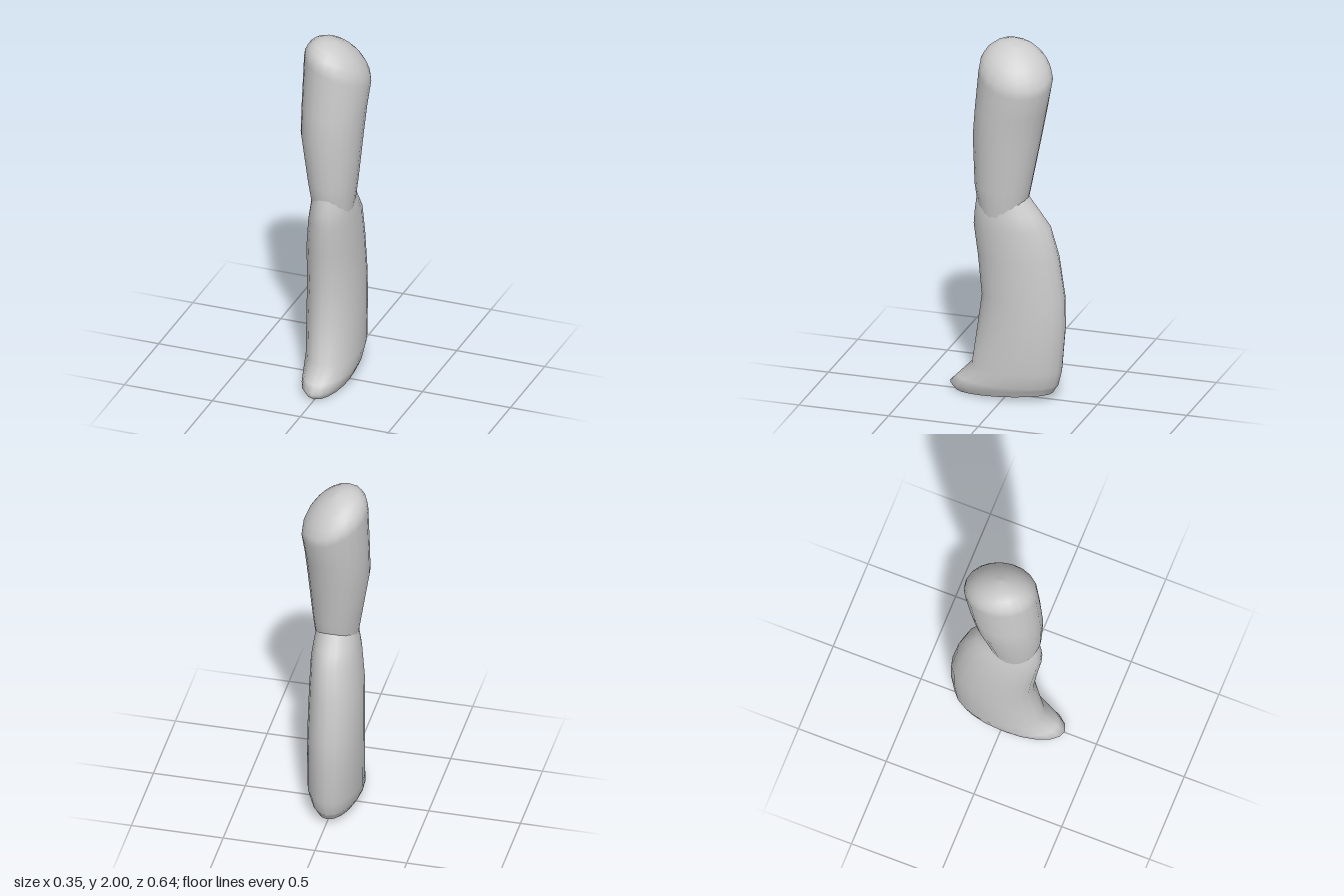
import * as THREE from 'three';

const SEG = 20;

// Point on an elliptical section: [y, xMin, xMax, zMin, zMax, slopeX, slopeZ]
function ringPoint([y, x0, x1, z0, z1, sx = 0, sz = 0], a) {
  const dx = Math.sin(a) * (x1 - x0) / 2, dz = Math.cos(a) * (z1 - z0) / 2;
  return [(x0 + x1) / 2 + dx, y + dx * sx + dz * sz, (z0 + z1) / 2 + dz];
}

// Skin through sections listed from bottom to top, with smooth wrap-around
function loft(rings) {
  const pos = [], idx = [];
  rings.forEach((r, j) => {
    for (let i = 0; i < SEG; i++) {
      pos.push(...ringPoint(r, i / SEG * Math.PI * 2));
      if (j === 0) continue;
      const n = (i + 1) % SEG, a = (j - 1) * SEG, b = j * SEG;
      idx.push(a + i, a + n, b + n, a + i, b + n, b + i);
    }
  });
  return build(pos, idx);
}

// Flat cap closing the underside of a section
function underside(ring) {
  const pos = [(ring[1] + ring[2]) / 2, ring[0], (ring[3] + ring[4]) / 2], idx = [];
  for (let i = 0; i < SEG; i++) {
    pos.push(...ringPoint(ring, i / SEG * Math.PI * 2));
    idx.push(0, 1 + (i + 1) % SEG, 1 + i);
  }
  return build(pos, idx);
}

function build(pos, idx) {
  const g = new THREE.BufferGeometry();
  g.setAttribute('position', new THREE.Float32BufferAttribute(pos, 3));
  g.setIndex(idx);
  g.computeVertexNormals();
  return g;
}

// Rounded end continuing from a section
function dome(ring, height, steps, driftX = 0) {
  const [y, x0, x1, z0, z1, sx = 0, sz = 0] = ring;
  const cx = (x0 + x1) / 2, cz = (z0 + z1) / 2, out = [];
  for (let k = 1; k <= steps; k++) {
    const t = k / steps * Math.PI / 2, s = Math.max(Math.cos(t), 0.002), h = Math.sin(t);
    const w = (x1 - x0) / 2 * s, d = (z1 - z0) / 2 * s, c = cx + driftX * h;
    out.push([y + height * h, c - w, c + w, cz - d, cz + d, sx, sz]);
  }
  return out;
}

export function createModel() {
  const model = new THREE.Group();
  const mat = new THREE.MeshStandardMaterial({ color: 0xcccccc });
  const add = (name, geometry) => {
    const m = new THREE.Mesh(geometry, mat);
    m.name = name;
    model.add(m);
  };

  // Upper segment, widening to a slanted rounded top
  const rim = [1.825, -0.175, 0.176, -0.245, 0.155, -0.37, 0.2];
  const upper = [
    [1.0, -0.1, 0.11, -0.08, 0.14],
    [1.1, -0.115, 0.123, -0.11, 0.162],
    [1.2, -0.131, 0.134, -0.13, 0.178],
    [1.47, -0.176, 0.155, -0.18, 0.19],
    [1.62, -0.178, 0.165, -0.21, 0.178],
    rim,
  ];
  add('upperLeg', loft([...upper, ...dome(rim, 0.165, 6)]));
  add('upperLegEnd', underside(upper[0]));

  // Lower segment: flared toe, bowed back, rounded joint on top
  const sole = [0.022, -0.112, 0.1, -0.25, 0.29, 0, -0.065];
  const neck = [1.13, -0.1, 0.107, -0.122, 0.168];
  add('lowerLeg', loft([
    sole,
    [0.057, -0.132, 0.117, -0.268, 0.323, 0, -0.045],
    [0.085, -0.14, 0.125, -0.28, 0.283],
    [0.17, -0.153, 0.137, -0.3, 0.2],
    [0.4, -0.161, 0.134, -0.317, 0.168],
    [0.57, -0.164, 0.13, -0.314, 0.146],
    [0.8, -0.157, 0.128, -0.281, 0.168],
    [0.97, -0.135, 0.126, -0.237, 0.188],
    [1.05, -0.118, 0.118, -0.18, 0.18],
    neck, ...dome(neck, 0.06, 4),
  ]));
  add('sole', underside(sole));

  return model;
}
